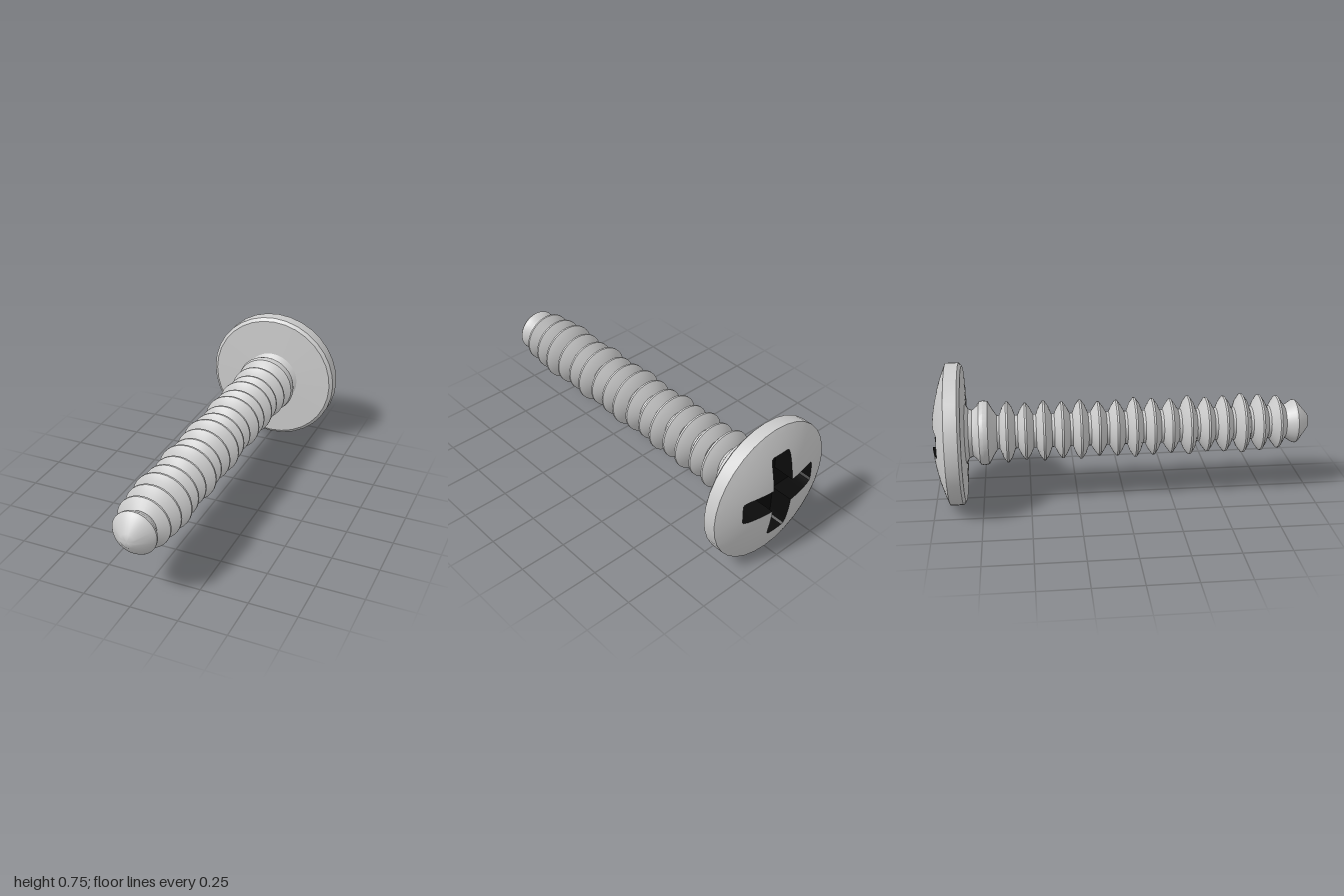
import * as THREE from 'three';
import { toCreasedNormals } from 'three/addons/utils/BufferGeometryUtils.js';

const SIDES = 32;          // facets around the screw
const HEAD_R = 0.373;      // head radius, also the height of the axis
const RIM_Z = -0.917;      // where the dome starts
const STEPS = 128;         // samples around the cross recess

const grey = new THREE.MeshStandardMaterial({ color: 0xcccccc });
const black = new THREE.MeshStandardMaterial({ color: 0x0a0a0a });

// Turned part along z from [radius, z] points, z ascending
function turned(points, name, crease = 0.5) {
  const profile = points.map(([r, z]) => new THREE.Vector2(r, z));
  const geometry = new THREE.LatheGeometry(profile, SIDES).rotateX(Math.PI / 2);
  const mesh = new THREE.Mesh(toCreasedNormals(geometry, crease), grey);
  mesh.name = name;
  return mesh;
}

// Skin over closed loops of equal length, running outward and facing -z
function loft(loops) {
  const n = loops[0].length;
  const index = [];
  for (let j = 0; j < loops.length - 1; j++) {
    for (let i = 0; i < n; i++) {
      const a = j * n + i, a2 = j * n + (i + 1) % n;
      index.push(a, a2 + n, a + n, a, a2, a2 + n);
    }
  }
  const geometry = new THREE.BufferGeometry().setFromPoints(loops.flat());
  geometry.setIndex(index);
  geometry.computeVertexNormals();
  return geometry;
}

const domeZ = (x, y) => -1 + (1 + RIM_Z) * (x * x + y * y) / (HEAD_R * HEAD_R);

// Rounded plus sign: the union of two soft-cornered bars
function crossPoint(t) {
  const c = Math.abs(Math.cos(t)), s = Math.abs(Math.sin(t)), p = 12;
  const bar = (a, b) => Math.pow(Math.pow(c / a, p) + Math.pow(s / b, p), -1 / p);
  const r = Math.max(bar(0.236, 0.063), bar(0.063, 0.236));
  return [r * Math.cos(t), r * Math.sin(t) + 0.021];
}

// Point on the faceted rim
function rimPoint(t) {
  const half = Math.PI / SIDES;
  const r = HEAD_R * Math.cos(half) / Math.cos((t % (2 * half)) - half);
  return [r * Math.cos(t), r * Math.sin(t)];
}

export function createModel() {
  const group = new THREE.Group();
  group.name = 'screw';
  const screw = new THREE.Group();
  screw.name = 'screwBody';
  screw.position.y = HEAD_R;
  group.add(screw);

  // Threaded shaft: neck, collar, then one ridge after another to the tip
  const ridgeRadii = [0.16, 0.15, 0.158, 0.15, 0.157, 0.144, 0.148, 0.158, 0.15,
    0.144, 0.157, 0.145, 0.149, 0.158, 0.149, 0.14];
  const shaft = [[0.16, -0.83], [0.128, -0.81], [0.122, -0.792], [0.135, -0.775],
    [0.164, -0.755], [0.17, -0.735], [0.165, -0.71], [0.12, -0.685], [0.09, -0.665]];
  ridgeRadii.forEach((r, i) => {
    const z = -0.612 + i * 0.0958;
    shaft.push([0.088, z - 0.041], [r - 0.028, z - 0.025], [r, z - 0.005],
      [r, z + 0.005], [r - 0.028, z + 0.025], [0.088, z + 0.041]);
  });
  shaft.push([0.1, 0.888], [0.115, 0.91], [0.117, 0.923], [0.108, 0.935],
    [0.038, 0.993], [0.012, 1], [0, 1]);
  screw.add(turned(shaft, 'threadedShaft'));

  // Head side and underside
  screw.add(turned([[HEAD_R, RIM_Z], [HEAD_R, -0.85], [0.355, -0.836], [0.11, -0.826]],
    'headRim'));

  // Domed head face around the cross opening
  const angles = Array.from({ length: STEPS }, (_, i) => i / STEPS * Math.PI * 2);
  const domeLoops = [];
  for (let j = 0; j <= 8; j++) {
    domeLoops.push(angles.map((t) => {
      const [ix, iy] = crossPoint(t), [ox, oy] = rimPoint(t), u = j / 8;
      const x = ix + (ox - ix) * u, y = iy + (oy - iy) * u;
      return new THREE.Vector3(x, y, j === 8 ? RIM_Z : domeZ(x, y));
    }));
  }
  const dome = new THREE.Mesh(loft(domeLoops), grey);
  dome.name = 'headDome';
  screw.add(dome);

  // Cross recess: floor and walls
  const floorZ = -0.88;
  const centre = angles.map(() => new THREE.Vector3(0, 0.021, floorZ));
  const floor = angles.map((t) => new THREE.Vector3(...crossPoint(t), floorZ));
  const recess = new THREE.Mesh(toCreasedNormals(loft([centre, floor, domeLoops[0]]), 0.5), black);
  recess.name = 'crossRecess';
  screw.add(recess);

  return group;
}
